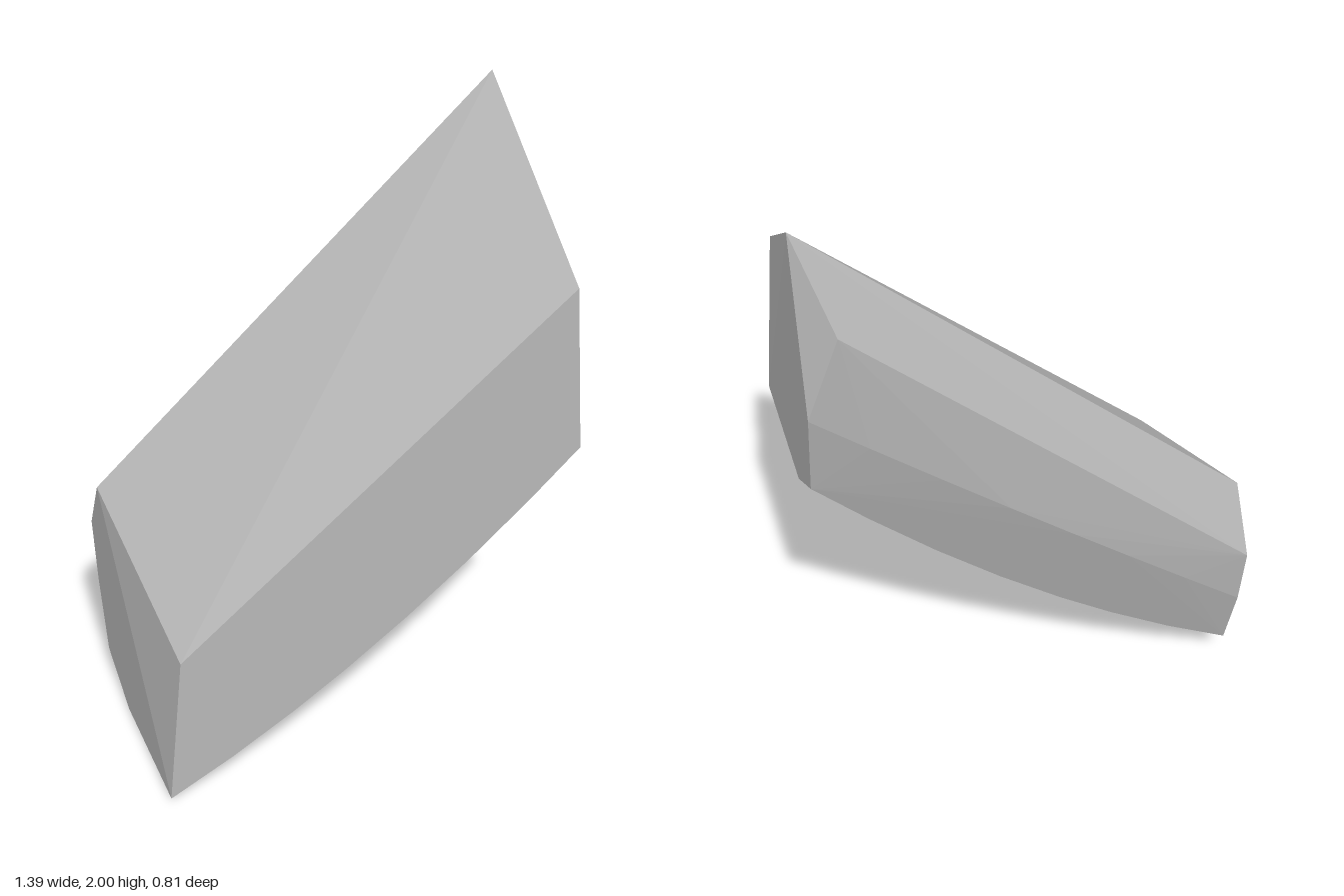
import * as THREE from 'three';
import { ConvexGeometry } from 'three/addons/geometries/ConvexGeometry.js';

export function createModel() {
  const group = new THREE.Group();
  group.name = 'rock';
  const stone = new THREE.MeshStandardMaterial({ color: 0xb6b6b6 });
  stone.name = 'stone grey';

  const points = [];
  const add = (x, y, z) => points.push(new THREE.Vector3(x, y, z));

  // Upper corners: front rim, back crest and the chipped back corner
  add(-0.64, 0.54, 0.41);
  add(0.64, 1.56, 0.41);
  add(-0.695, 0.78, -0.275);
  add(0.695, 2.0, -0.305);
  add(-0.695, 0.57, -0.4);
  add(0.6, 1.71, -0.403);

  // Long edges running from the low end to the high end, bowed outward
  const edges = [
    { y: [0.017, 1.0], z: 0.41, sag: 0.34, bow: 0 },      // front bottom
    { y: [0.005, 0.985], z: -0.07, sag: 0.37, bow: 0 },   // belly
    { y: [0.1, 1.13], z: -0.3, sag: 0.45, bow: 0.126 },   // back bottom
    { y: [0.35, 1.43], z: -0.37, sag: 0, bow: -0.08 },    // back face
  ];
  for (const { y, z, sag, bow } of edges) {
    for (const t of [0, 0.15, 0.3, 0.43, 0.58, 0.73, 0.88, 1]) {
      const b = t * (1 - t);
      add(-0.695 + 1.39 * t, y[0] + (y[1] - y[0]) * t - sag * b, z + bow * b);
    }
  }

  const body = new THREE.Mesh(new ConvexGeometry(points), stone);
  body.name = 'rockBody';
  group.add(body);
  return group;
}
